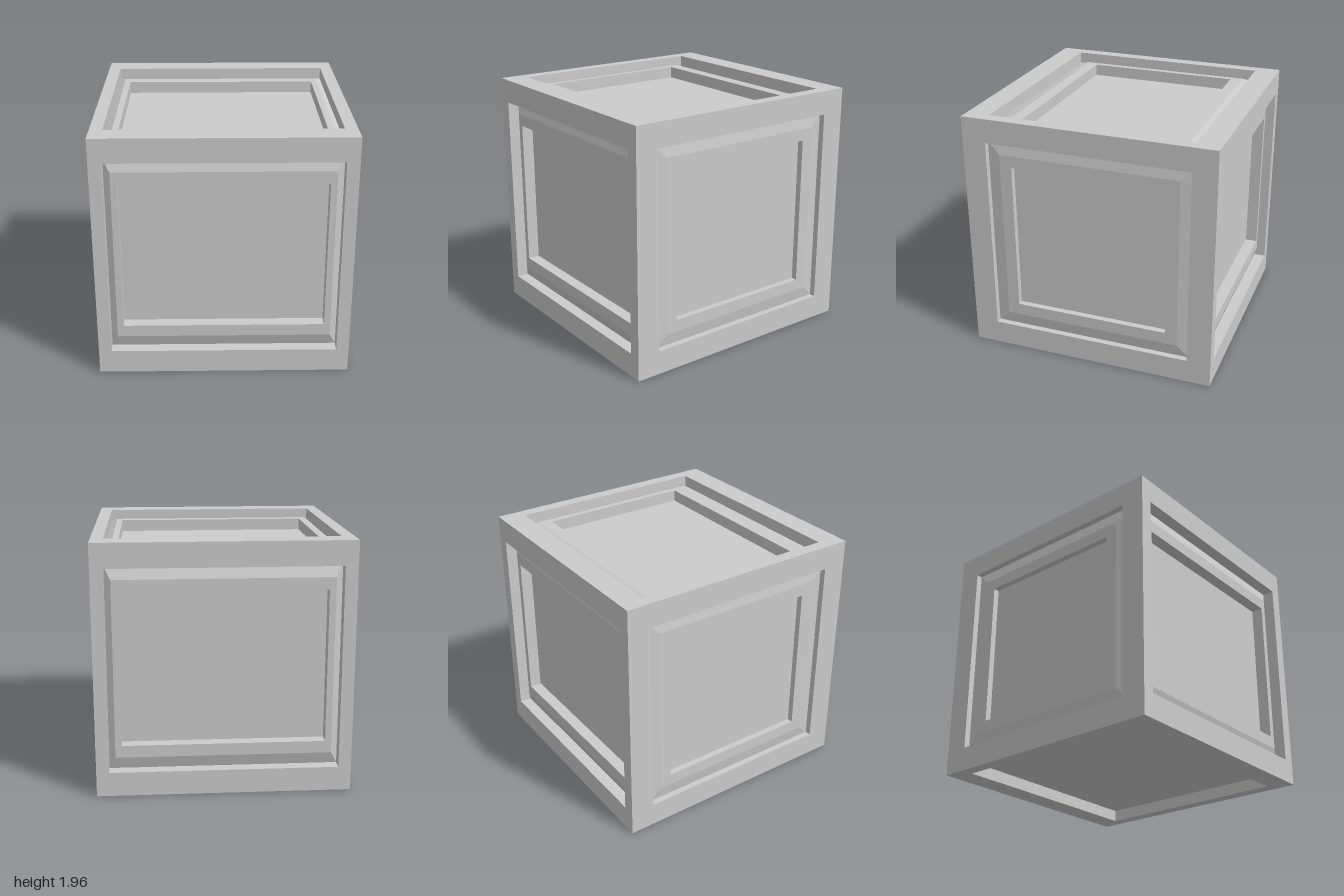
import * as THREE from 'three';

const HALF = new THREE.Vector3(0.98, 0.978, 1);     // half size of the crate
const STEP = new THREE.Vector3(0.098, 0.19, 0.19);  // frame thickness along each axis

// Each ring is [inset, depth], both in frame thicknesses
const PARTS = {
  frame: [[0, 0], [1, 0], [1, 0.5]],
  bevelledBorder: [[1, 0.5], [1.5, 0.35], [2, 0.35]],
  panel: [[2, 0.35], [2, 0.85]],
};
const BOTTOM_PARTS = {
  frame: PARTS.frame,
  panel: [[1, 0.5]],
};

const SIDES = {
  front: [0, 0, 1],
  back: [0, 0, -1],
  left: [1, 0, 0],
  right: [-1, 0, 0],
  top: [0, 1, 0],
  bottom: [0, -1, 0],
};

// Joins nested rectangular rings on one side; optionally fills the innermost one
function ringGeometry(normal, rings, filled) {
  const n = new THREE.Vector3(...normal);
  const u = new THREE.Vector3(Math.abs(n.y), Math.abs(n.z), Math.abs(n.x));
  const v = n.clone().cross(u);
  const corners = rings.map(([inset, depth]) =>
    [[-1, -1], [1, -1], [1, 1], [-1, 1]].map(([a, b]) => {
      const inPlane = u.clone().multiplyScalar(a).addScaledVector(v, b);
      const size = HALF.clone().addScaledVector(STEP, -inset);
      const out = HALF.clone().addScaledVector(STEP, -depth);
      return inPlane.multiply(size).add(n.clone().multiply(out));
    }));

  const positions = [];
  const quad = (a, b, c, d) => {
    for (const p of [a, b, c, a, c, d]) positions.push(p.x, p.y, p.z);
  };
  for (let r = 0; r + 1 < corners.length; r++) {
    const outer = corners[r], inner = corners[r + 1];
    for (let i = 0; i < 4; i++) {
      const j = (i + 1) % 4;
      quad(outer[i], outer[j], inner[j], inner[i]);
    }
  }
  if (filled) quad(...corners[corners.length - 1]);

  const geometry = new THREE.BufferGeometry();
  geometry.setAttribute('position', new THREE.Float32BufferAttribute(positions, 3));
  geometry.computeVertexNormals();
  return geometry;
}

export function createModel() {
  const crate = new THREE.Group();
  crate.name = 'crate';
  const material = new THREE.MeshStandardMaterial({ color: 0xcccccc, flatShading: true });

  // Six sides: frame, raised bevelled border and sunken panel
  for (const [side, normal] of Object.entries(SIDES)) {
    const group = new THREE.Group();
    group.name = side + 'Side';
    const parts = side === 'bottom' ? BOTTOM_PARTS : PARTS;
    for (const [part, rings] of Object.entries(parts)) {
      const mesh = new THREE.Mesh(ringGeometry(normal, rings, part === 'panel'), material);
      mesh.name = part;
      group.add(mesh);
    }
    crate.add(group);
  }

  // Stand the crate on the ground
  crate.children.forEach((side) => { side.position.y = HALF.y; });
  return crate;
}
